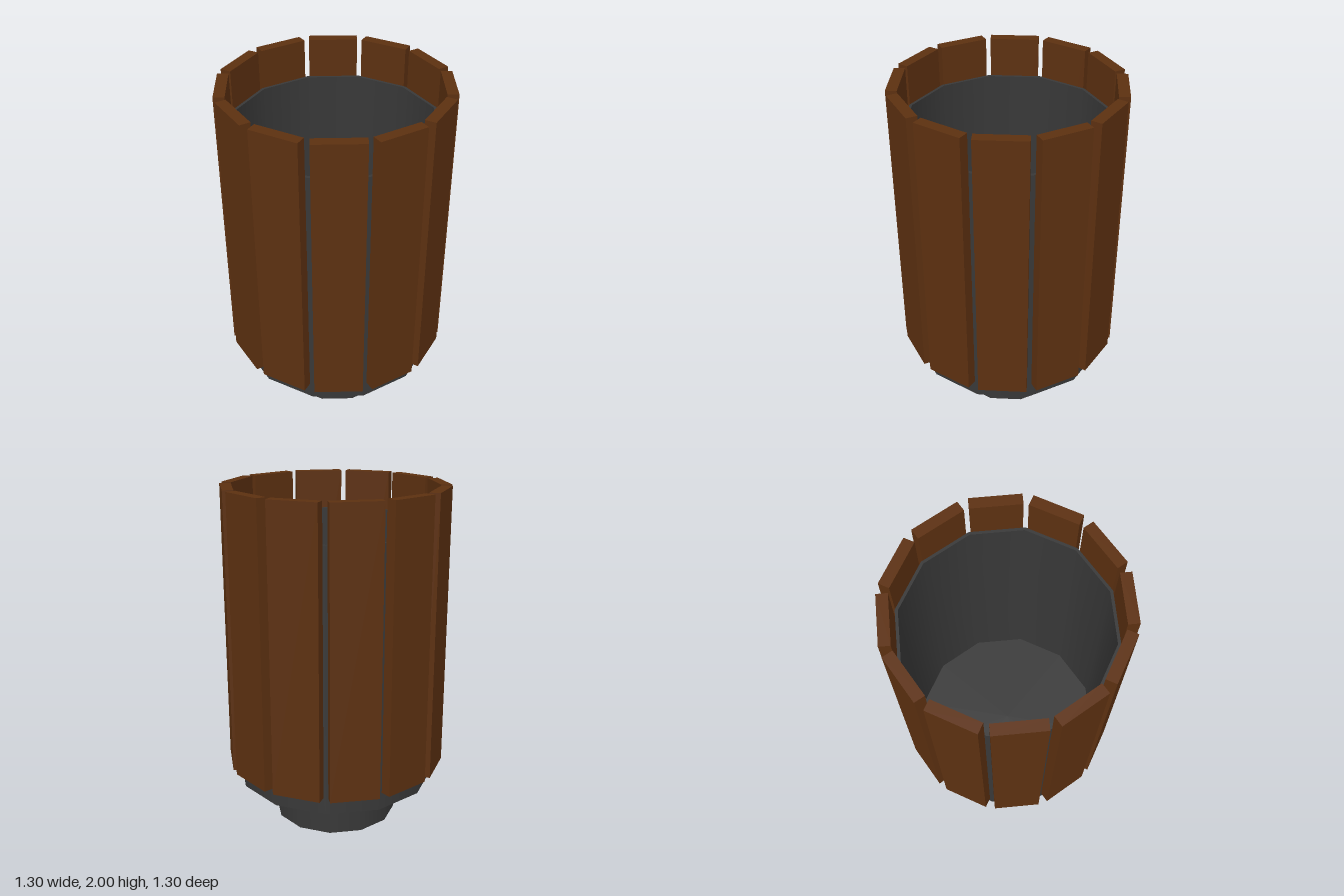
import * as THREE from 'three';
import { mergeGeometries } from 'three/addons/utils/BufferGeometryUtils.js';

const SIDES = 12;

// Turned solid from [radius, height] points; every profile corner stays sharp
function turned(points) {
  const bands = points.slice(1).map((p, i) =>
    new THREE.LatheGeometry([new THREE.Vector2(...points[i]), new THREE.Vector2(...p)], SIDES));
  return mergeGeometries(bands);
}

export function createModel() {
  const model = new THREE.Group();
  model.name = 'slattedBarrel';

  const metal = new THREE.MeshStandardMaterial({ color: 0x383838 });
  metal.name = 'darkGrey';
  const wood = new THREE.MeshStandardMaterial({ color: 0x5c3010 });
  wood.name = 'brownWood';

  const add = (name, geometry, material, parent = model) => {
    const mesh = new THREE.Mesh(geometry, material);
    mesh.name = name;
    parent.add(mesh);
    return mesh;
  };

  // Foot
  add('foot', turned([[0, 0], [0.365, 0], [0.365, 0.25]]), metal);

  // Open container with a thin rim
  add('container', turned([
    [0, 0.25], [0.587, 0.25], [0.587, 1.775], [0.57, 1.775], [0.57, 0.27], [0, 0.27],
  ]), metal);

  // Ring of upright slats, one on each flat side
  const slats = new THREE.Group();
  slats.name = 'slats';
  model.add(slats);
  const bottom = 0.355, top = 2;
  const slatGeometry = new THREE.BoxGeometry(0.28, top - bottom, 0.062);
  slatGeometry.translate(0, (top + bottom) / 2, 0.604);
  for (let i = 0; i < SIDES; i++) {
    add(`slat${i + 1}`, slatGeometry, wood, slats).rotation.y = ((i + 0.5) / SIDES) * Math.PI * 2;
  }

  return model;
}
